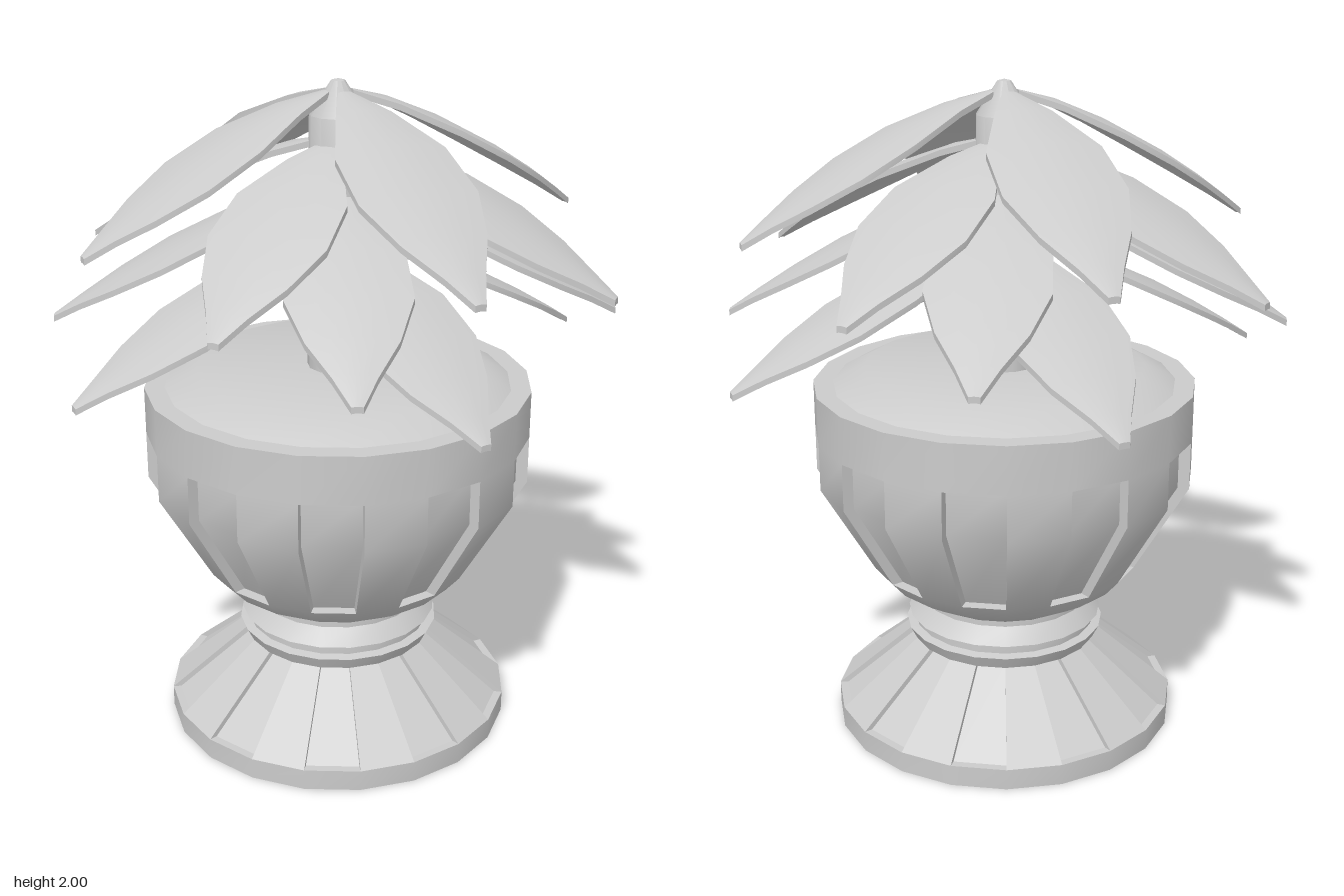
import * as THREE from 'three';
import { toCreasedNormals } from 'three/addons/utils/BufferGeometryUtils.js';

const grey = new THREE.MeshStandardMaterial({ color: 0xcccccc, side: THREE.DoubleSide });
const SIDES = 20;

// Turned shell with recessed panels on every other face.
// Profile points are [radius, height, inset]; neighbouring inset points form a panel.
function panelledShell(profile) {
  const pos = [];
  const point = ([r, y], k, inset = 0) => {
    const a = (k / SIDES) * Math.PI * 2;
    return [(r - inset) * Math.sin(a), y, (r - inset) * Math.cos(a)];
  };
  const quad = (a, b, c, d) => pos.push(...a, ...b, ...c, ...a, ...c, ...d);
  for (let i = 0; i < profile.length - 1; i++) {
    const p = profile[i], q = profile[i + 1];
    const inset = p[2] && q[2] ? p[2] : 0;
    for (let k = 0; k < SIDES; k++) {
      const d = k % 2 === 0 ? inset : 0;
      const [a, b, c, e] = [point(p, k, d), point(p, k + 1, d), point(q, k + 1, d), point(q, k, d)];
      quad(a, b, c, e);
      if (!d) continue;
      // walls around the recess
      quad(point(p, k), a, e, point(q, k));
      quad(b, point(p, k + 1), point(q, k + 1), c);
      if (!profile[i - 1]?.[2]) quad(point(p, k), point(p, k + 1), b, a);
      if (!profile[i + 2]?.[2]) quad(e, c, point(q, k + 1), point(q, k));
    }
  }
  const geo = new THREE.BufferGeometry();
  geo.setAttribute('position', new THREE.Float32BufferAttribute(pos, 3));
  return toCreasedNormals(geo, 0.6);
}

// Arched leaf pointing along +z: [fraction of length, half width]
const OUTLINE = [[0.05, 0.02], [0.2, 0.085], [0.4, 0.165], [0.6, 0.175], [0.77, 0.125], [0.9, 0.06], [1, 0.016]];
function leafGeometry(length, drop) {
  const n = OUTLINE.length - 1;
  const geo = new THREE.BoxGeometry(2, 0.018, 1, 4, 1, n);
  const p = geo.attributes.position;
  for (let i = 0; i < p.count; i++) {
    const [t, w] = OUTLINE[Math.round((p.getZ(i) + 0.5) * n)];
    const x = p.getX(i);
    const arch = drop * t ** 1.5 + 0.02 * x * x * (w / 0.17);
    p.setXYZ(i, x * w, p.getY(i) - arch, t * length);
  }
  geo.computeVertexNormals();
  return geo;
}

export function createModel() {
  const model = new THREE.Group();
  model.name = 'pottedPlant';
  const cx = -0.006, cz = 0.018;
  const axis = new THREE.Group();
  axis.name = 'plantAndPot';
  axis.position.set(cx, 0, cz);
  model.add(axis);
  const add = (name, geo) => {
    const mesh = new THREE.Mesh(geo, grey);
    mesh.name = name;
    axis.add(mesh);
    return mesh;
  };

  // Pot: hollow foot, ringed neck and bowl
  add('foot', panelledShell([
    [0.5, 0], [0.533, 0], [0.533, 0.065, 0.025], [0.29, 0.27, 0.025],
    [0.31, 0.31], [0.283, 0.315], [0.283, 0.34], [0.303, 0.348],
    [0.262, 0.395], [0.262, 0.412],
  ]));
  add('bowl', panelledShell([
    [0.262, 0.412], [0.31, 0.44], [0.375, 0.48], [0.418, 0.53, 0.035],
    [0.58, 0.81, 0.035], [0.58, 0.955, 0.035], [0.58, 1.1], [0.52, 1.1],
  ]));
  add('soil', panelledShell([[0.52, 1.1], [0.425, 1.15], [0.05, 1.15]]));

  // Trunk with pointed crown
  const trunk = [[0.092, 1.12], [0.09, 1.5], [0.083, 1.9], [0.02, 1.995], [0, 2]];
  add('trunk', toCreasedNormals(
    new THREE.LatheGeometry(trunk.map(([r, y]) => new THREE.Vector2(r, y)), 12).toNonIndexed(), 0.6));

  // Four tiers of leaves; tips are [x, z]
  const tiers = [
    { base: 1.965, tip: 1.57, tips: [[0.77, 0.02], [0, -0.84], [-0.77, 0.02], [0, 0.83]] },
    { base: 1.83, tip: 1.455, tips: [[0.605, -0.49], [-0.53, -0.64], [-0.585, 0.51], [0.54, 0.64]] },
    { base: 1.69, tip: 1.305, tips: [[0.32, -0.71], [-0.77, -0.32], [-0.28, 0.715], [0.765, 0.32]] },
    { base: 1.53, tip: 1.155, tips: [[0.83, -0.04], [-0.83, 0.05], [0.07, 0.765], [-0.07, -0.765]] },
  ];
  tiers.forEach(({ base, tip, tips }, i) => tips.forEach(([x, z]) => {
    const leaf = add(`leafTier${i + 1}`, leafGeometry(Math.hypot(x - cx, z - cz), base - tip));
    leaf.position.y = base;
    leaf.rotation.y = Math.atan2(x - cx, z - cz);
  }));
  return model;
}
